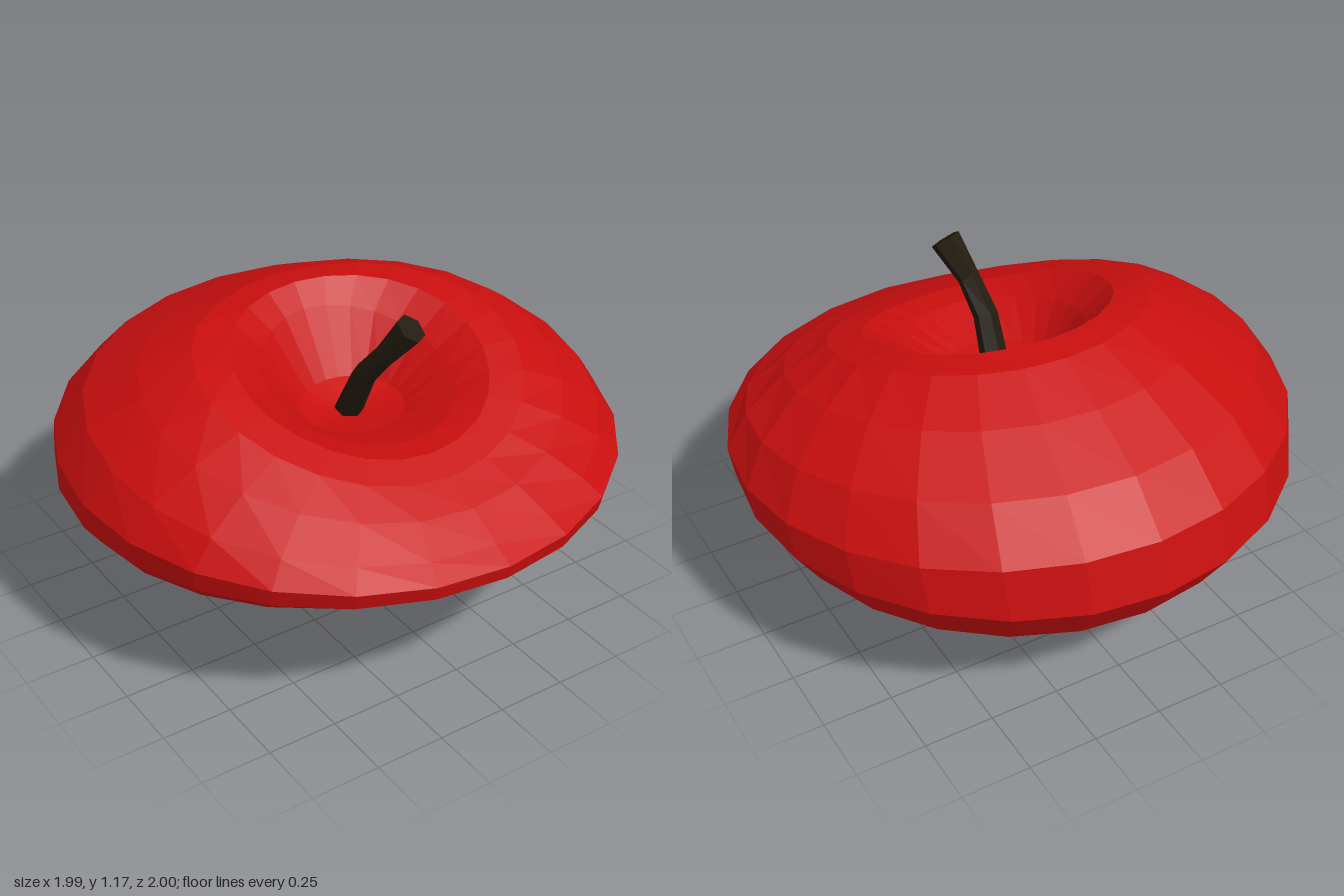
import * as THREE from 'three';

// Skin a list of closed rings (first to last = top to bottom), flat shaded.
function loft(rings, color, name) {
  const n = rings[0].length, pos = [], index = [];
  rings.forEach(r => r.forEach(p => pos.push(p.x, p.y, p.z)));
  for (let i = 0; i < rings.length - 1; i++) {
    for (let j = 0; j < n; j++) {
      const a = i * n + j, a2 = i * n + (j + 1) % n, b = a + n, b2 = a2 + n;
      index.push(a, b, b2, a, b2, a2);
    }
  }
  const geo = new THREE.BufferGeometry();
  geo.setAttribute('position', new THREE.Float32BufferAttribute(pos, 3));
  geo.setIndex(index);
  geo.computeVertexNormals();
  const mesh = new THREE.Mesh(geo, new THREE.MeshStandardMaterial({ color, flatShading: true }));
  mesh.name = name;
  return mesh;
}

// Tilted body ring: front point (zf, yf), back point (zb, yb), half width, height at the sides.
function bodyRing([zf, yf, zb, yb, rx, ym, cx = 0], sides = 24) {
  const ring = [];
  for (let j = 0; j < sides; j++) {
    const a = (j / sides) * Math.PI * 2, c = Math.cos(a), s = Math.sin(a);
    const mean = (yf + yb) / 2;
    ring.push(new THREE.Vector3(
      cx + rx * s,
      mean + (yf - yb) / 2 * c + (ym - mean) * s * s,
      (zf + zb) / 2 + (zf - zb) / 2 * c));
  }
  return ring;
}

// Six-sided ring across a stem path, ending in closed caps.
function stemRings(stations) {
  const up = new THREE.Vector3(0, 1, 0);
  const pts = stations.map(s => new THREE.Vector3(s[0], s[1], s[2]));
  const circle = (i, r) => {
    const dir = pts[Math.max(i - 1, 0)].clone().sub(pts[Math.min(i + 1, pts.length - 1)]).normalize();
    const q = new THREE.Quaternion().setFromUnitVectors(up, dir);
    return Array.from({ length: 6 }, (_, j) => {
      const a = j * Math.PI / 3;
      return new THREE.Vector3(r * Math.sin(a), 0, r * Math.cos(a)).applyQuaternion(q).add(pts[i]);
    });
  };
  return [circle(0, 0), ...stations.map((s, i) => circle(i, s[3])), circle(pts.length - 1, 0)];
}

export function createModel() {
  const group = new THREE.Group();
  group.name = 'apple';

  // Fruit body: stem hollow, shoulder, equator, underside, small base hollow
  const body = [
    [0.10, 0.70, 0.10, 0.70, 0, 0.70],
    [0.28, 0.73, -0.05, 0.76, 0.19, 0.74],
    [0.48, 0.785, -0.19, 0.98, 0.33, 0.87],
    [0.58, 0.785, -0.25, 1.06, 0.45, 0.95],
    [0.68, 0.745, -0.36, 1.05, 0.58, 0.95],
    [0.80, 0.69, -0.56, 0.97, 0.75, 0.88],
    [0.92, 0.62, -0.79, 0.86, 0.91, 0.77],
    [0.995, 0.58, -0.95, 0.71, 0.995, 0.64],
    [0.985, 0.53, -1.00, 0.53, 0.985, 0.53],
    [0.82, 0.42, -0.89, 0.36, 0.90, 0.41],
    [0.65, 0.30, -0.74, 0.255, 0.72, 0.28],
    [0.50, 0.215, -0.45, 0.11, 0.48, 0.135],
    [0.40, 0.17, -0.15, 0.00, 0.30, 0.045, 0.02],
    [0.35, 0.165, 0.09, 0.04, 0.165, 0.10, 0.03],
    [0.06, 0.20, 0.06, 0.20, 0, 0.20, 0.03],
  ];
  group.add(loft(body.map(r => bodyRing(r)), 0xc80e0e, 'fruitBody'));

  // Bent stem leaning forward, flared at the tip
  const stem = [
    [0.05, 1.135, 0.375, 0.056],
    [0.005, 1.01, 0.29, 0.04],
    [-0.012, 0.90, 0.20, 0.044],
    [0.005, 0.68, 0.07, 0.052],
  ];
  group.add(loft(stemRings(stem), 0x211a0e, 'stem'));

  return group;
}
